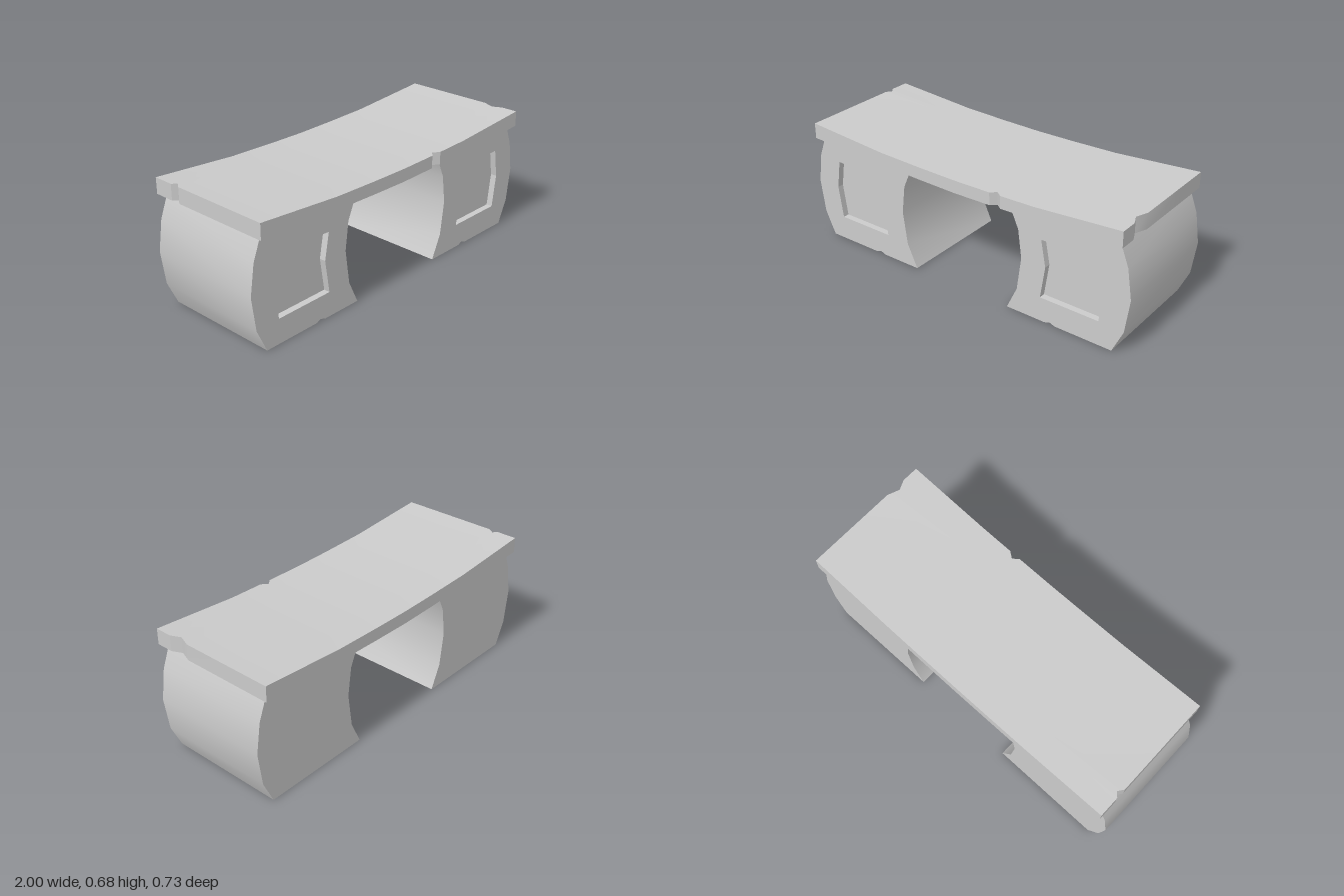
import * as THREE from 'three';
import { toCreasedNormals } from 'three/addons/utils/BufferGeometryUtils.js';

const grey = new THREE.MeshStandardMaterial({ color: 0xcccccc, side: THREE.DoubleSide });

function part(name, geometry, parent) {
  const mesh = new THREE.Mesh(geometry, grey);
  mesh.name = name;
  parent.add(mesh);
}

const shapeOf = (points) => new THREE.Shape(points.map(([x, y]) => new THREE.Vector2(x, y)));

// Wall that sweeps a line of [x, y] points from zFront back to zBack
function wall(points, zFront, zBack) {
  const pos = [], index = [];
  points.forEach(([x, y], i) => {
    pos.push(x, y, zFront, x, y, zBack);
    if (i) {
      const a = 2 * i - 2;
      index.push(a, a + 1, a + 3, a, a + 3, a + 2);
    }
  });
  const geo = new THREE.BufferGeometry();
  geo.setAttribute('position', new THREE.Float32BufferAttribute(pos, 3));
  geo.setIndex(index);
  geo.computeVertexNormals();
  return geo;
}

// Piecewise linear height of the sagging top: [|x|, underside, upper side]
const sag = [[0, 0.567, 0.637], [0.22, 0.571, 0.64], [0.48, 0.579, 0.647], [0.96, 0.597, 0.683]];
function sagHeight(x, side) {
  const ax = Math.abs(x);
  const i = Math.max(1, sag.findIndex((s) => s[0] >= ax - 1e-6));
  const [p, q] = [sag[i - 1], sag[i]];
  return THREE.MathUtils.lerp(p[side], q[side], (ax - p[0]) / (q[0] - p[0]));
}

// Curved slab with a small chip in the front and in both ends
function tabletop() {
  const xs = [-0.96, -0.48, -0.22, 0, 0.22, 0.25, 0.285, 0.48, 0.96];
  const zs = [-0.363, -0.25, -0.227, -0.195, 0.15, 0.216, 0.27, 0.363];
  const nx = xs.length - 1, nz = zs.length - 1;
  const geo = new THREE.BoxGeometry(1, 1, 1, nx, 1, nz);
  const p = geo.attributes.position;
  for (let v = 0; v < p.count; v++) {
    const i = Math.round((p.getX(v) + 0.5) * nx);
    const j = Math.round((p.getZ(v) + 0.5) * nz);
    let x = xs[i], z = zs[j];
    const y = sagHeight(x, p.getY(v) > 0 ? 2 : 1);
    if (i === nx && j === 5) x = 0.935;
    if (i === 0 && j === 2) x = -0.937;
    if (j === nz && i === 5) z = 0.337;
    p.setXYZ(v, x, y, z);
  }
  return toCreasedNormals(geo, 0.4);
}

// Hollow pedestal, open below, with bowed sides and a sunken front panel
function pedestal(name) {
  const group = new THREE.Group();
  group.name = name;
  const front = 0.325, back = -0.327, recess = front - 0.035;
  const outer = [[0.915, 0], [0.975, 0.13], [1, 0.315], [0.975, 0.48], [0.93, 0.597]];
  const inner = [[0.318, 0.576], [0.365, 0.47], [0.385, 0.315], [0.36, 0.13], [0.3, 0]];
  const chip = [[0.53, 0], [0.56, 0.011], [0.59, 0]];
  const panel = [[0.5, 0.135], [0.527, 0.315], [0.5, 0.46], [0.835, 0.475], [0.86, 0.315], [0.835, 0.135]];

  part('outerSide', wall(outer, front, back), group);
  part('innerSide', wall(inner, front, back), group);

  const face = shapeOf([...outer, ...inner, ...chip]);
  face.holes.push(shapeOf(panel));
  part('frontFace', new THREE.ShapeGeometry(face).translate(0, 0, front), group);

  const rear = shapeOf([...outer, ...inner].map(([x, y]) => [-x, y]));
  part('backFace', new THREE.ShapeGeometry(rear).rotateY(Math.PI).translate(0, 0, back), group);

  part('panelRim', toCreasedNormals(wall([...panel, panel[0]], front, recess), 0.1), group);
  part('panel', new THREE.ShapeGeometry(shapeOf(panel)).translate(0, 0, recess), group);
  return group;
}

export function createModel() {
  const model = new THREE.Group();
  model.name = 'desk';
  part('tabletop', tabletop(), model);
  const right = pedestal('rightPedestal');
  right.scale.x = -1;
  model.add(pedestal('leftPedestal'), right);
  return model;
}
